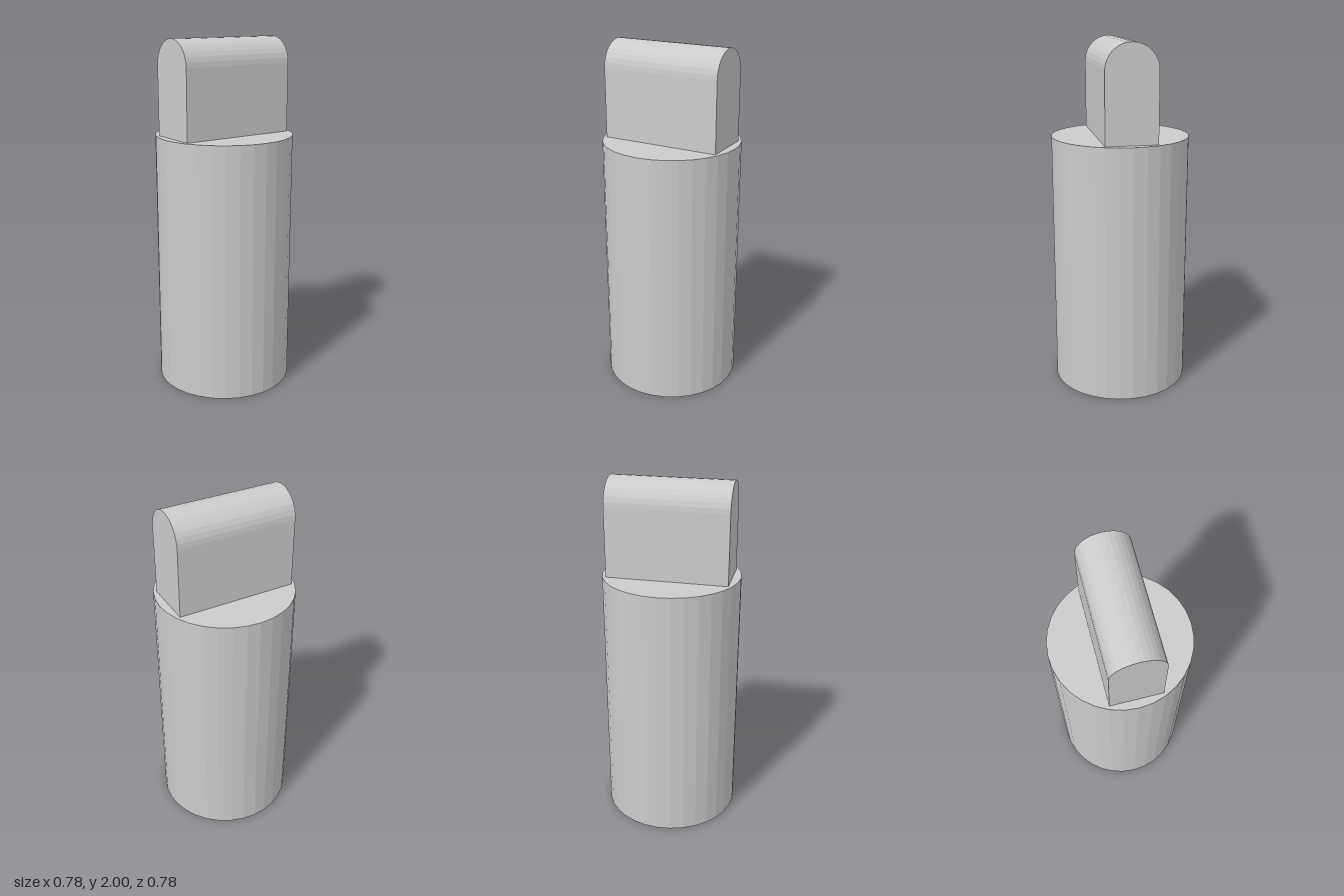
import * as THREE from 'three';

const RADIUS = 0.39, BODY_HEIGHT = 1.465, TOTAL_HEIGHT = 2;
const TAB_HALF_WIDTH = 0.145, TAB_DEPTH = 0.684;

export function createModel() {
  const group = new THREE.Group();
  group.name = 'tabbedCylinder';
  const material = new THREE.MeshStandardMaterial({ color: 0xcccccc, flatShading: true });

  // Round body
  const body = new THREE.Mesh(new THREE.CylinderGeometry(RADIUS, RADIUS, BODY_HEIGHT, 32), material);
  body.name = 'body';
  body.position.y = BODY_HEIGHT / 2;
  group.add(body);

  // Upright tab with a half-round top, running front to back
  const arcY = TOTAL_HEIGHT - TAB_HALF_WIDTH;
  const outline = new THREE.Shape();
  outline.moveTo(-TAB_HALF_WIDTH, BODY_HEIGHT);
  outline.lineTo(TAB_HALF_WIDTH, BODY_HEIGHT);
  outline.lineTo(TAB_HALF_WIDTH, arcY);
  outline.absarc(0, arcY, TAB_HALF_WIDTH, 0, Math.PI, false);
  outline.closePath();
  const tabGeometry = new THREE.ExtrudeGeometry(outline, {
    depth: TAB_DEPTH, bevelEnabled: false, curveSegments: 8,
  });
  const tab = new THREE.Mesh(tabGeometry, material);
  tab.name = 'roundedTab';
  tab.position.z = -TAB_DEPTH / 2;
  group.add(tab);

  return group;
}
